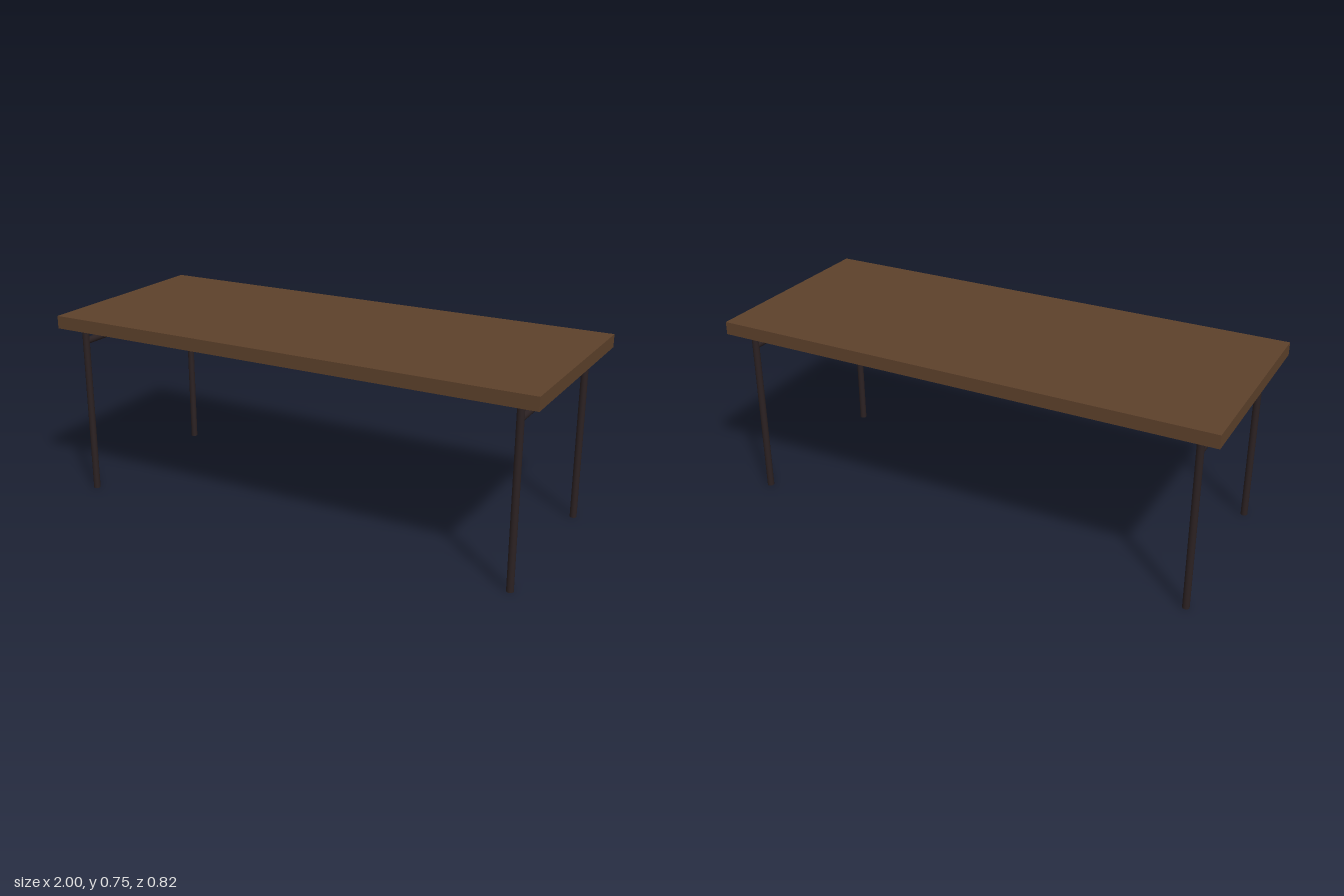
import * as THREE from 'three';

export function createModel() {
  const wood = new THREE.MeshStandardMaterial({ color: 0x5d412b });
  wood.name = 'brown wood';
  const metal = new THREE.MeshStandardMaterial({ color: 0x2b2122 });
  metal.name = 'dark metal';

  const height = 0.745, thickness = 0.051, depth = 0.824;
  const legHeight = height - thickness;
  const legX = 0.917, legZ = 0.348, radius = 0.0135, barY = 0.637;

  const table = new THREE.Group();
  table.name = 'table';

  const add = (name, geometry, material, x, y, z) => {
    const mesh = new THREE.Mesh(geometry, material);
    mesh.name = name;
    mesh.position.set(x, y, z);
    table.add(mesh);
    return mesh;
  };

  // Tabletop slab
  add('tabletop', new THREE.BoxGeometry(2, thickness, depth), wood, 0, height - thickness / 2, 0);

  // Two end frames: a pair of round legs joined by a crossbar
  const legGeometry = new THREE.CylinderGeometry(radius, radius, legHeight, 24);
  const barGeometry = new THREE.CylinderGeometry(radius, radius, legZ * 2, 24).rotateX(Math.PI / 2);
  for (const [sx, side] of [[1, 'left'], [-1, 'right']]) {
    for (const [sz, end] of [[1, 'Front'], [-1, 'Back']]) {
      add(`${side}${end}Leg`, legGeometry, metal, sx * legX, legHeight / 2, sz * legZ);
    }
    add(`${side}Crossbar`, barGeometry, metal, sx * legX, barY, 0);
  }

  return table;
}
